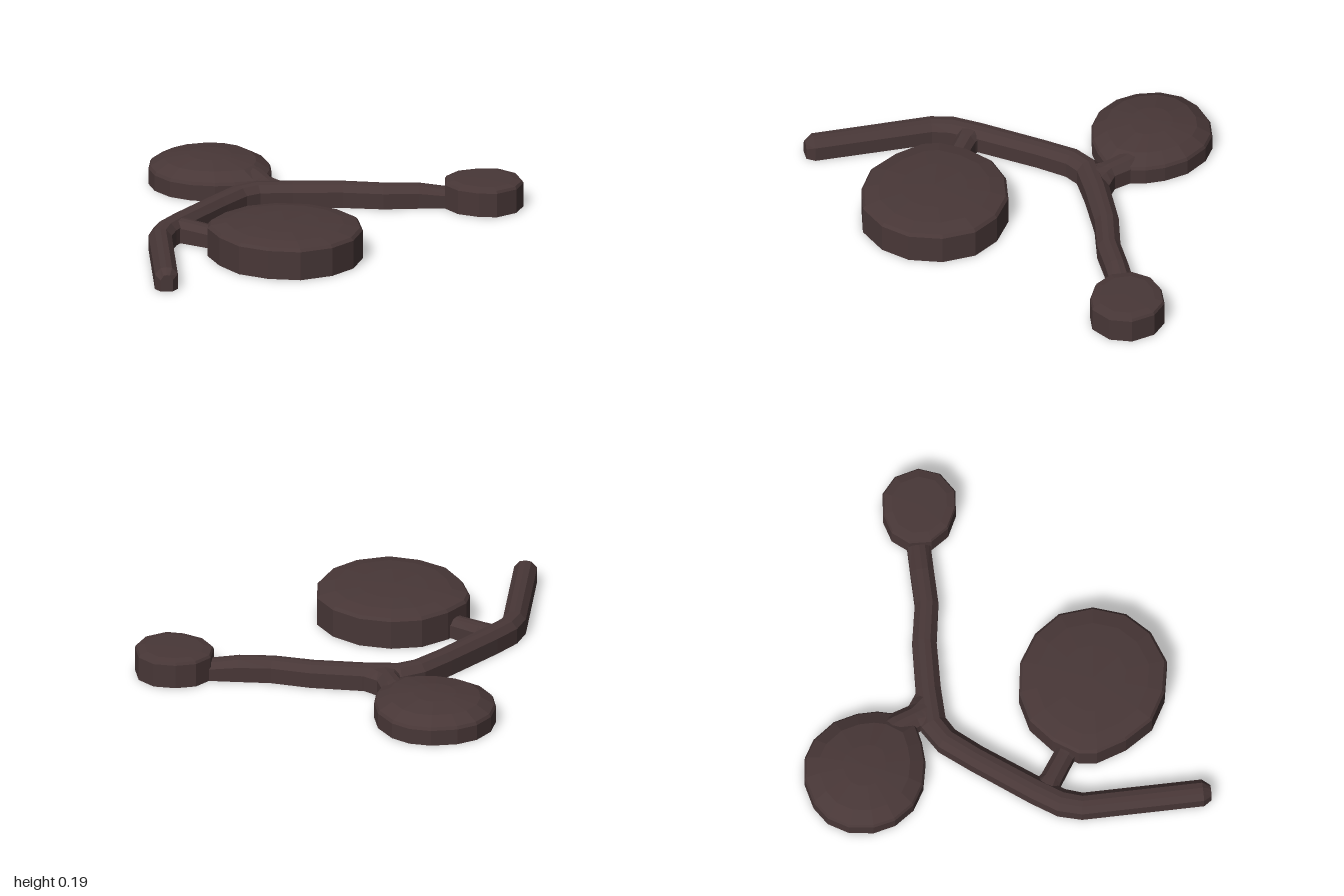
import * as THREE from 'three';

const paint = (name, color) => {
  const m = new THREE.MeshStandardMaterial({ color, flatShading: true });
  m.name = name;
  return m;
};

function meshFrom(name, verts, faces, material) {
  const g = new THREE.BufferGeometry();
  g.setAttribute('position', new THREE.Float32BufferAttribute(verts.flat(), 3));
  g.setIndex(faces.flat());
  const flat = g.toNonIndexed();
  flat.computeVertexNormals();
  const mesh = new THREE.Mesh(flat, material);
  mesh.name = name;
  return mesh;
}

// Faceted pad: an outline (clockwise from above) stacked in rings [scale, y], domed to a peak
function pad(name, [cx, cz], outline, rings, peak, material, underMaterial) {
  const n = outline.length, verts = [], faces = [];
  for (const [s, y] of rings)
    for (const [x, z] of outline) verts.push([cx + (x - cx) * s, y, cz + (z - cz) * s]);
  const top = verts.push([cx, peak, cz]) - 1;
  const last = (rings.length - 1) * n;
  for (let i = 0; i < n; i++) {
    const j = (i + 1) % n;
    for (let r = 0; r < last; r += n)
      faces.push([r + i, r + n + i, r + n + j], [r + i, r + n + j, r + j]);
    faces.push([top, last + j, last + i]);
  }
  const under = [], underVerts = [...verts.slice(0, n), [cx, 0, cz]];
  for (let i = 0; i < n; i++) under.push([n, i, (i + 1) % n]);
  const group = new THREE.Group();
  group.name = name;
  group.add(meshFrom(name + 'Body', verts, faces, material));
  group.add(meshFrom(name + 'Underside', underVerts, under, underMaterial));
  return group;
}

// Bevelled bar swept along points [x, z, halfWidth, height]
const SECTION = [[-1, 0], [-1, 0.68], [-0.5, 0.96], [0, 1], [0.5, 0.96], [1, 0.68], [1, 0]];
function bar(name, path, material) {
  const n = SECTION.length, verts = [], faces = [];
  path.forEach(([x, z, w, h], i) => {
    const dir = (a, b) => new THREE.Vector2(b[0] - a[0], b[1] - a[1]).normalize();
    const before = dir(path[Math.max(i - 1, 0)], path[Math.max(i, 1)]);
    const after = dir(path[Math.min(i, path.length - 2)], path[Math.min(i + 1, path.length - 1)]);
    const d = before.clone().add(after).normalize();
    const reach = w / d.dot(before); // mitre
    for (const [u, v] of SECTION) verts.push([x - d.y * u * reach, v * h, z + d.x * u * reach]);
  });
  for (let i = 0; i < path.length - 1; i++)
    for (let k = 0; k < n; k++) {
      const a = i * n + k, b = i * n + (k + 1) % n;
      faces.push([a, b, b + n], [a, b + n, a + n]);
    }
  const e = (path.length - 1) * n;
  for (let k = 1; k < n - 1; k++) faces.push([0, k + 1, k], [e, e + k, e + k + 1]);
  return meshFrom(name, verts, faces, material);
}

export function createModel() {
  const model = new THREE.Group();
  model.name = 'branchingPads';
  const dark = paint('dark brown', 0x483737);
  const earth = paint('earth brown', 0x4a2e20);

  // Main stem, running from the front tip to the small pad
  model.add(bar('mainStem', [
    [-0.89, 0.99, 0.03, 0.085], [-0.89, 0.95, 0.057, 0.113], [-0.89, 0.35, 0.057, 0.115],
    [-0.86, 0.25, 0.06, 0.117], [-0.78, 0.13, 0.06, 0.118], [-0.58, -0.14, 0.058, 0.118],
    [-0.47, -0.275, 0.06, 0.12], [-0.38, -0.33, 0.062, 0.12], [-0.2, -0.335, 0.062, 0.118],
    [0.05, -0.325, 0.06, 0.117], [0.25, -0.29, 0.058, 0.116], [0.42, -0.292, 0.058, 0.113],
    [0.6, -0.292, 0.058, 0.085]], dark));

  // Short side stems, flared where they leave the main stem
  model.add(bar('frontSideStem', [
    [-0.82, 0.155, 0.08, 0.113], [-0.74, 0.21, 0.052, 0.11], [-0.62, 0.29, 0.05, 0.1],
    [-0.56, 0.33, 0.06, 0.1]], dark));
  model.add(bar('backSideStem', [
    [-0.3, -0.33, 0.13, 0.115], [-0.32, -0.385, 0.085, 0.117], [-0.335, -0.42, 0.06, 0.12],
    [-0.37, -0.51, 0.065, 0.125], [-0.43, -0.6, 0.09, 0.13]], dark));

  // Large front pad
  model.add(pad('largePad', [-0.28, 0.475], [
    [-0.22, 0.85], [-0.38, 0.82], [-0.52, 0.74], [-0.61, 0.6], [-0.66, 0.45], [-0.65, 0.36],
    [-0.57, 0.24], [-0.45, 0.14], [-0.3, 0.105], [-0.14, 0.13], [0, 0.22], [0.09, 0.35],
    [0.105, 0.52], [0.05, 0.68], [-0.06, 0.79]],
  [[1, 0], [1, 0.145], [0.965, 0.16], [0.76, 0.176], [0.45, 0.184]], 0.187, dark, earth));

  // Domed back pad
  model.add(pad('domedPad', [-0.59, -0.7], [
    [-0.6, -1], [-0.49, -0.985], [-0.4, -0.93], [-0.32, -0.82], [-0.29, -0.7], [-0.29, -0.6],
    [-0.31, -0.52], [-0.38, -0.42], [-0.48, -0.4], [-0.58, -0.395], [-0.7, -0.42], [-0.8, -0.48],
    [-0.87, -0.58], [-0.895, -0.69], [-0.88, -0.81], [-0.82, -0.91], [-0.73, -0.97]],
  [[1, 0], [1, 0.08], [0.97, 0.095], [0.75, 0.132], [0.35, 0.15]], 0.155, dark, earth));

  // Small pad at the end of the stem
  model.add(pad('smallPad', [0.745, -0.265], [
    [0.72, -0.45], [0.83, -0.44], [0.91, -0.37], [0.94, -0.25], [0.9, -0.145], [0.8, -0.08],
    [0.71, -0.09], [0.61, -0.14], [0.55, -0.23], [0.555, -0.34], [0.62, -0.42]],
  [[1, 0], [1, 0.122], [0.96, 0.135], [0.75, 0.143]], 0.145, dark, dark));

  return model;
}
